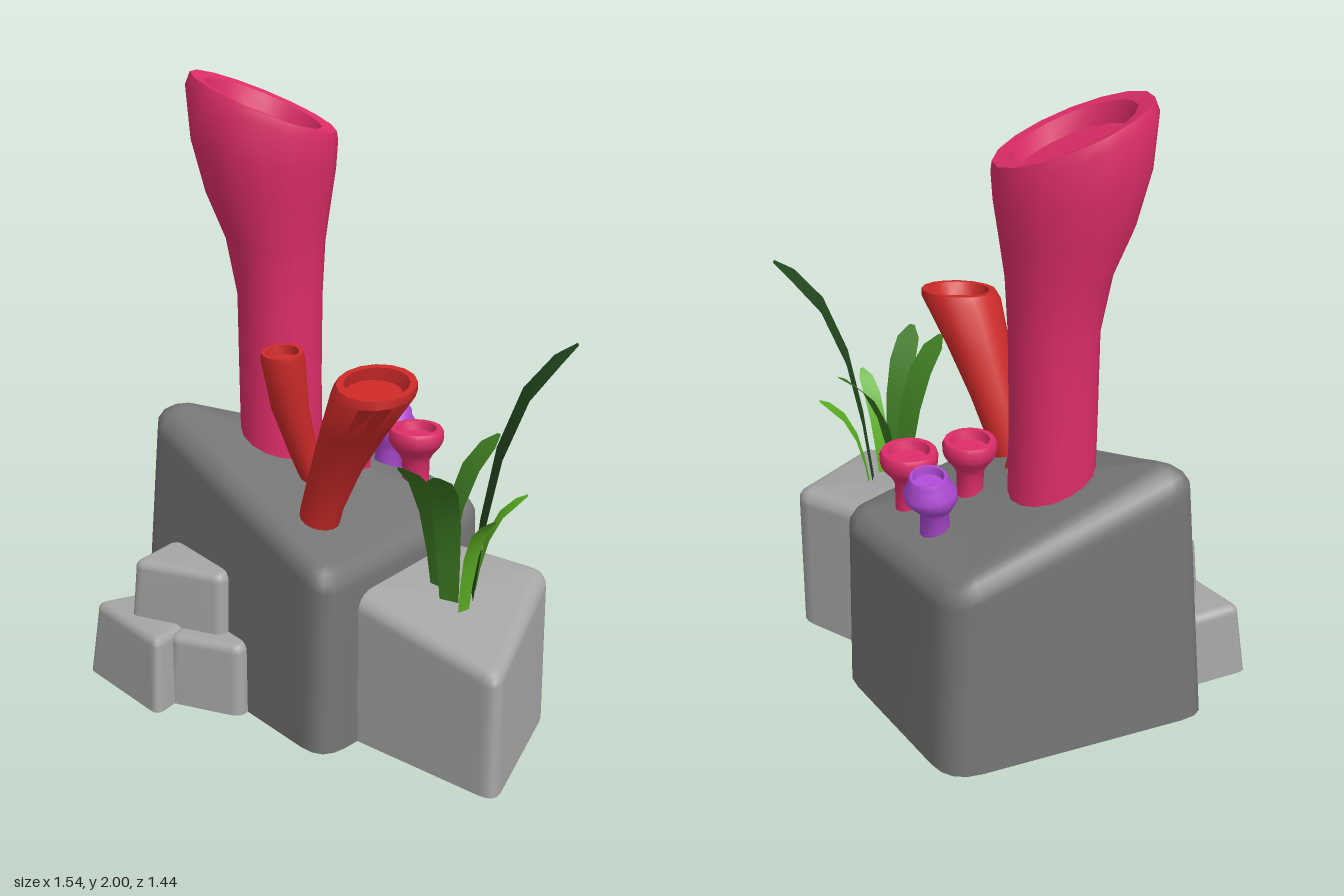
import * as THREE from 'three';
import { toCreasedNormals } from 'three/addons/utils/BufferGeometryUtils.js';

const mat = (name, color, side = THREE.FrontSide) => {
  const m = new THREE.MeshStandardMaterial({ color, side });
  m.name = name;
  return m;
};
const V = (x, y, z) => new THREE.Vector3(x, y, z);

function indexed(pos, idx) {
  const g = new THREE.BufferGeometry();
  g.setAttribute('position', new THREE.Float32BufferAttribute(pos, 3));
  g.setIndex(idx);
  g.computeVertexNormals();
  return g;
}

// Skin a stack of equal-length rings; the top is closed, its centre raised by crown
function loft(rings, crown = 0) {
  const n = rings[0].length, pos = [], idx = [];
  rings.forEach((ring) => ring.forEach((p) => pos.push(p.x, p.y, p.z)));
  for (let j = 0; j < rings.length - 1; j++) {
    for (let i = 0; i < n; i++) {
      const a = j * n + i, b = j * n + (i + 1) % n;
      idx.push(a, b, b + n, a, b + n, a + n);
    }
  }
  const start = (rings.length - 1) * n, top = start + n;
  const centre = rings[rings.length - 1].reduce((s, p) => s.add(p), V(0, 0, 0)).divideScalar(n);
  pos.push(centre.x, centre.y + crown, centre.z);
  for (let i = 0; i < n; i++) idx.push(top, start + i, start + (i + 1) % n);
  return indexed(pos, idx);
}

// Polygon loop moved inwards by d, with rounded corners of size r
function roundedLoop(corners, d, r) {
  const n = corners.length, moved = corners.map((p, i) => {
    const u = corners[(i + n - 1) % n].clone().sub(p).setY(0).normalize();
    const v = corners[(i + 1) % n].clone().sub(p).setY(0).normalize();
    const s = Math.abs(u.x * v.z - u.z * v.x);
    return p.clone().addScaledVector(u.add(v), d / s);
  });
  const loop = [];
  moved.forEach((p, i) => {
    const before = moved[(i + n - 1) % n].clone().sub(p).setLength(r).add(p);
    const after = moved[(i + 1) % n].clone().sub(p).setLength(r).add(p);
    loop.push(...new THREE.QuadraticBezierCurve3(before, p, after).getPoints(4));
  });
  return loop;
}

// Hollow rock: corners are [bottom x, bottom z, top x, top z, top y], anticlockwise from above
function rock(corners, y0, r, crown) {
  const rings = [roundedLoop(corners.map((c) => V(c[0], y0, c[1])), 0, r * 1.3)];
  const top = corners.map((c) => V(c[2], c[4], c[3]));
  for (let k = 0; k <= 4; k++) {
    const a = (k / 4) * Math.PI / 2;
    const loop = roundedLoop(top, r * (1 - Math.cos(a)), r * (1.3 - 0.9 * k / 4));
    loop.forEach((p) => { p.y -= r * (1 - Math.sin(a)); });
    rings.push(loop);
  }
  return loft(rings, crown);
}

// Tube: rows are [x, y, z, radius, slope along x, slope along z, z stretch]
function tube(rows, crease = 0.7, sides = 16) {
  const rings = rows.map(([x, y, z, r, sx = 0, sz = 0, k = 1]) => Array.from({ length: sides }, (_, i) => {
    const a = (i / sides) * Math.PI * 2, dx = r * Math.cos(a), dz = -r * k * Math.sin(a);
    return V(x + dx, y + sx * dx + sz * dz, z + dz);
  }));
  return toCreasedNormals(loft(rings), crease);
}

// Thin strap-shaped leaf bending outwards from base to tip
function blade(base, tip, width) {
  const along = [0, 0.1, 0.25, 0.5, 0.8, 1], up = [0, 0.3, 0.58, 0.81, 0.94, 1];
  const wide = [0.65, 0.8, 0.95, 1, 0.85, 0.2];
  const dx = tip[0] - base[0], dz = tip[2] - base[2], l = Math.hypot(dx, dz);
  const pos = [], idx = [];
  along.forEach((t, i) => {
    const w = wide[i] * width / 2, y = base[1] + (tip[1] - base[1]) * up[i];
    for (const s of [-1, 1]) pos.push(base[0] + dx * t - s * w * dz / l, y, base[2] + dz * t + s * w * dx / l);
    if (i) idx.push(2 * i - 2, 2 * i, 2 * i - 1, 2 * i - 1, 2 * i, 2 * i + 1);
  });
  return indexed(pos, idx);
}

export function createModel() {
  const group = new THREE.Group();
  const darkStone = mat('dark stone', 0x757575, THREE.DoubleSide);
  const paleStone = mat('pale stone', 0xa6a6a6, THREE.DoubleSide);
  const pink = mat('pink', 0xde2d69), red = mat('red', 0xcc2a28), purple = mat('purple', 0xae4ad4);
  const deepGreen = mat('deep green', 0x24491f, THREE.DoubleSide);
  const midGreen = mat('mid green', 0x3d7a22, THREE.DoubleSide);
  const brightGreen = mat('bright green', 0x5cb024, THREE.DoubleSide);
  const add = (name, geometry, material) => {
    const m = new THREE.Mesh(geometry, material);
    m.name = name;
    group.add(m);
  };

  // Rocks
  add('mainRock', rock([
    [-0.65, -0.38, -0.59, -0.38, 0.885], [0, 0.5, 0, 0.49, 0.61],
    [0.55, -0.14, 0.54, -0.14, 0.63], [0.18, -0.75, 0.17, -0.73, 0.65]], 0, 0.085, 0.05), darkStone);
  add('sideRock', rock([
    [0.04, 0.305, 0.06, 0.315, 0.5], [0.51, 0.75, 0.51, 0.74, 0.4],
    [0.72, 0.18, 0.72, 0.18, 0.51], [0.39, -0.065, 0.39, -0.065, 0.52]], 0, 0.05, 0), paleStone);
  add('lowRockOuter', rock([
    [-0.79, -0.14, -0.76, -0.14, 0.25], [-0.53, 0.2, -0.53, 0.18, 0.25],
    [-0.39, -0.03, -0.4, -0.03, 0.25], [-0.52, -0.27, -0.52, -0.26, 0.25]], 0, 0.03, 0), paleStone);
  add('lowRockInner', rock([
    [-0.51, 0.105, -0.5, 0.1, 0.24], [-0.26, 0.215, -0.26, 0.205, 0.24],
    [-0.15, 0, -0.16, 0, 0.24], [-0.4, -0.1, -0.4, -0.1, 0.24]], 0, 0.03, 0), paleStone);
  add('stackedRock', rock([
    [-0.635, -0.03, -0.62, -0.03, 0.445], [-0.32, 0.115, -0.32, 0.11, 0.445],
    [-0.2, -0.1, -0.21, -0.1, 0.445], [-0.5, -0.22, -0.5, -0.21, 0.445]], 0.235, 0.03, 0), paleStone);

  // Tall tube sponge with slanted mouth
  const z = -0.265;
  add('tallTube', tube([
    [-0.13, 0.65, z, 0.135], [-0.135, 1, z, 0.135], [-0.135, 1.28, z, 0.138],
    [-0.148, 1.46, z, 0.16, -0.03, 0, 0.97], [-0.17, 1.6, z, 0.2, -0.08, 0, 0.92],
    [-0.184, 1.74, z, 0.23, -0.2, 0, 0.9], [-0.188, 1.87, z, 0.24, -0.37, 0, 0.9],
    [-0.182, 1.905, z, 0.23, -0.41, 0, 0.9], [-0.183, 1.9, z, 0.184, -0.41, 0, 0.95],
    [-0.183, 1.84, z, 0.165, -0.41, 0, 0.95]]), pink);

  // Red tubes
  add('largeRedTube', tube([
    [-0.02, 0.58, 0.135, 0.06], [0, 0.7, 0.155, 0.068], [0.045, 0.85, 0.195, 0.082],
    [0.098, 1, 0.26, 0.104, 0, -0.08], [0.155, 1.145, 0.325, 0.13, 0.04, -0.16],
    [0.162, 1.17, 0.33, 0.122, 0.04, -0.16], [0.162, 1.17, 0.33, 0.1, 0.04, -0.16],
    [0.15, 1.13, 0.317, 0.092, 0.04, -0.16]]), red);
  add('smallRedTube', tube([
    [-0.01, 0.66, -0.065, 0.036], [-0.055, 0.8, -0.045, 0.046], [-0.1, 0.97, -0.015, 0.06],
    [-0.123, 1.15, 0.012, 0.07, 0.05, -0.1], [-0.124, 1.17, 0.014, 0.066, 0.05, -0.1],
    [-0.124, 1.17, 0.014, 0.053, 0.05, -0.1], [-0.118, 1.14, 0.01, 0.048, 0.05, -0.1]]), red);

  // Pink cups
  const cup = [[0.05, -0.06], [0.044, 0.02], [0.045, 0.09], [0.058, 0.115], [0.079, 0.14], [0.089, 0.157],
    [0.09, 0.188], [0.084, 0.2], [0.066, 0.2], [0.058, 0.172], [0, 0.165]]
    .map(([r, y]) => new THREE.Vector2(r, y));
  [[0.12, 0.69, -0.205, 0.95], [0.31, 0.645, -0.19, 1.02]].forEach(([x, y, cz, s], i) => {
    const g = toCreasedNormals(new THREE.LatheGeometry(cup, 16).scale(s, 1, s), 0.8);
    add('pinkCup' + (i + 1), g.translate(x, y, cz), pink);
  });

  // Purple bulb
  add('purpleBulb', tube([
    [0.225, 0.6, -0.352, 0.05], [0.226, 0.715, -0.358, 0.044], [0.23, 0.742, -0.364, 0.062],
    [0.235, 0.77, -0.37, 0.081, 0, 0.06], [0.238, 0.8, -0.374, 0.083, 0, 0.1],
    [0.24, 0.828, -0.378, 0.066, 0, 0.15], [0.242, 0.845, -0.381, 0.062, 0, 0.15],
    [0.242, 0.855, -0.382, 0.057, 0, 0.15], [0.242, 0.855, -0.382, 0.049, 0, 0.15],
    [0.242, 0.83, -0.38, 0.045, 0, 0.15]], 0.95), purple);

  // Grass
  [[[0.46, 0.46, 0.31], [0.76, 1.28, 0.297], 0.13, deepGreen],
    [[0.47, 0.46, 0.28], [0.63, 0.79, 0.274], 0.065, brightGreen],
    [[0.37, 0.46, 0.24], [0.55, 0.94, 0.135], 0.09, midGreen],
    [[0.39, 0.46, 0.35], [0.33, 0.95, 0.545], 0.09, midGreen],
    [[0.365, 0.46, 0.275], [0.228, 0.95, 0.46], 0.09, midGreen],
    [[0.43, 0.44, 0.395], [0.505, 0.8, 0.515], 0.06, brightGreen],
  ].forEach(([base, tip, w, m], i) => add('grassBlade' + (i + 1), blade(base, tip, w), m));

  return group;
}
